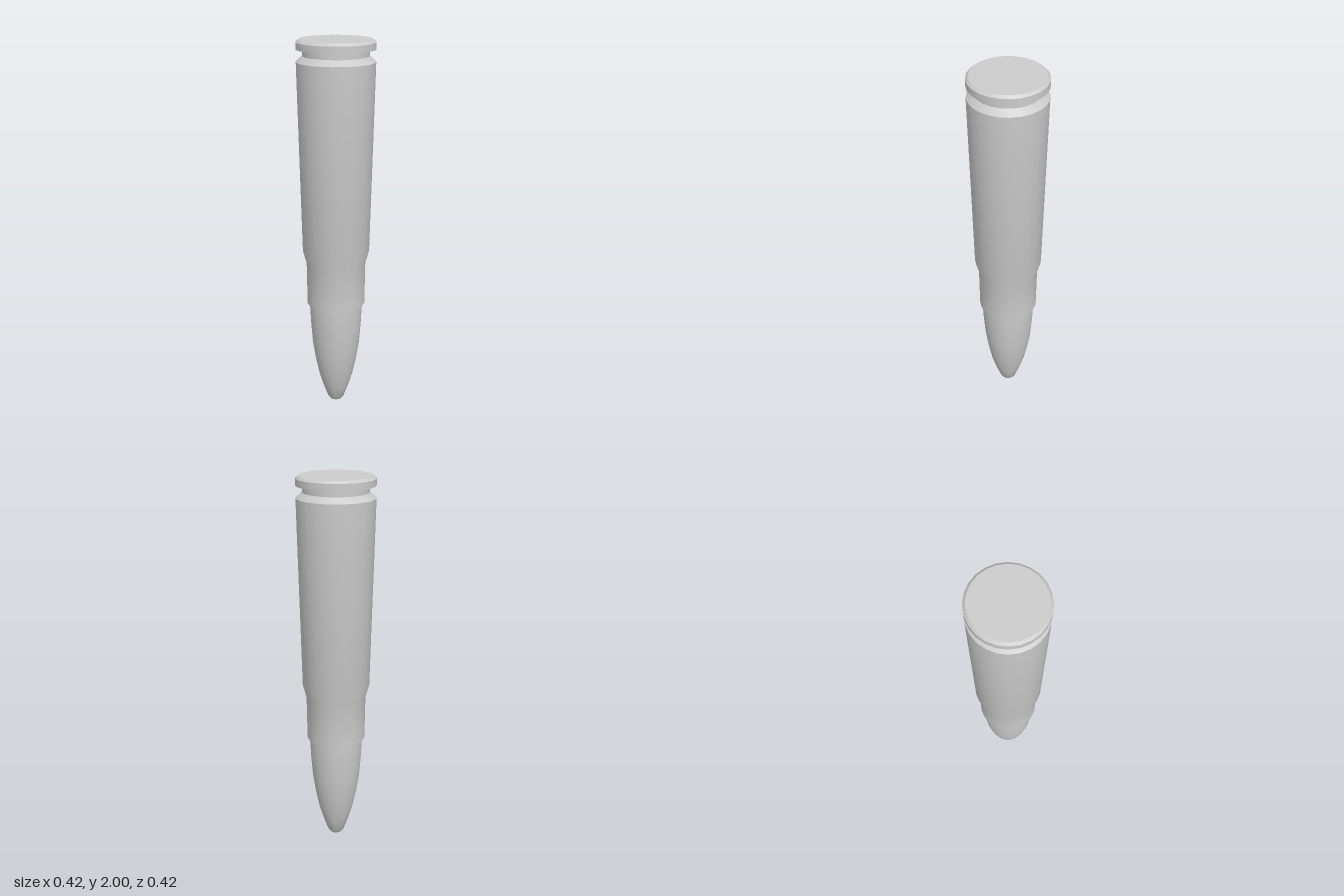
import * as THREE from 'three';
import { toCreasedNormals } from 'three/addons/utils/BufferGeometryUtils.js';

const SIDES = 24;

// Turned part from [radius, height] pairs, listed from bottom to top
function turned(name, profile, material) {
  const points = profile.map(([r, y]) => new THREE.Vector2(r, y));
  const lathe = new THREE.LatheGeometry(points, SIDES, Math.PI / SIDES);
  const mesh = new THREE.Mesh(toCreasedNormals(lathe, 0.5), material);
  mesh.name = name;
  return mesh;
}

export function createModel() {
  const group = new THREE.Group();
  group.name = 'cartridge';
  const material = new THREE.MeshStandardMaterial({ color: 0xcccccc });

  // Pointed tip with a small blunt end, seated slightly inside the case mouth
  group.add(turned('bullet', [
    [0, 0], [0.03, 0], [0.043, 0.015], [0.068, 0.08], [0.092, 0.155],
    [0.111, 0.24], [0.127, 0.335], [0.137, 0.45], [0.143, 0.56], [0.143, 0.6],
  ], material));

  // Mouth, neck, sloped shoulder, tapering body and the bevel into the groove
  group.add(turned('case', [
    [0.138, 0.57], [0.156, 0.57], [0.16, 0.8], [0.18, 0.87],
    [0.209, 1.885], [0.175, 1.915],
  ], material));

  // Extractor groove
  group.add(turned('groove', [[0.175, 1.915], [0.175, 1.95]], material));

  // Rim with a chamfered flat base
  group.add(turned('rim', [
    [0.175, 1.95], [0.21, 1.95], [0.21, 1.987], [0.196, 2], [0, 2],
  ], material));

  return group;
}
